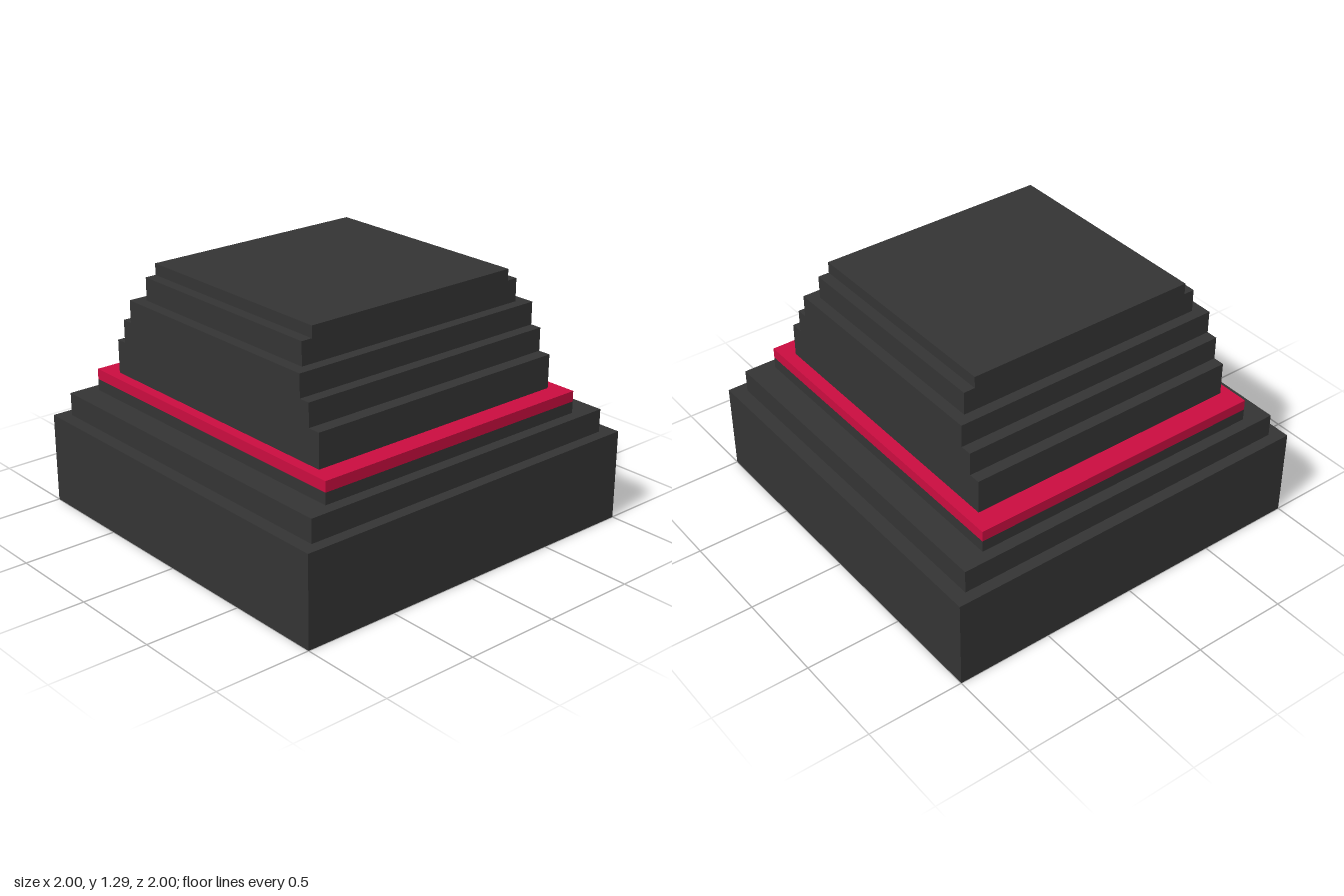
import * as THREE from 'three';

const charcoal = new THREE.MeshStandardMaterial({ color: 0x343434 });
charcoal.name = 'charcoal';
const crimson = new THREE.MeshStandardMaterial({ color: 0xcb0d40 });
crimson.name = 'crimson';

// Corners of a rectangle [x0, x1, z0, z1]; shape y becomes -z once laid flat
function corners([x0, x1, z0, z1]) {
  return [[x0, -z1], [x1, -z1], [x1, -z0], [x0, -z0]].map(([x, y]) => new THREE.Vector2(x, y));
}

// Horizontal slab from y0 to y1, optionally with a rectangular opening
function slab(name, y0, y1, rect, material, opening) {
  const shape = new THREE.Shape(corners(rect));
  if (opening) shape.holes.push(new THREE.Path(corners(opening)));
  const geometry = new THREE.ExtrudeGeometry(shape, { depth: y1 - y0, bevelEnabled: false });
  geometry.rotateX(-Math.PI / 2);
  geometry.translate(0, y0, 0);
  const mesh = new THREE.Mesh(geometry, material);
  mesh.name = name;
  return mesh;
}

export function createModel() {
  const model = new THREE.Group();
  model.name = 'steppedHat';

  const step = [-0.93, 0.925, -0.94, 0.94];
  const bandRect = [-0.8, 0.785, -0.88, 0.88];
  const cavity = [-0.88, 0.87, -0.87, 0.87];
  const recess = [-0.76, 0.75, -0.81, 0.81];

  // Hollow base, open underneath with an inner ledge
  model.add(
    slab('base', 0, 0.47, [-1, 1, -1, 1], charcoal, cavity),
    slab('baseStep', 0.47, 0.53, step, charcoal, cavity),
    slab('innerLedge', 0.53, 0.59, step, charcoal, recess),
    slab('bandSupport', 0.59, 0.65, bandRect, charcoal),
    slab('band', 0.65, 0.705, bandRect, crimson)
  );

  // Crown tiers, narrowing towards the top
  const tiers = [
    [0.705, 0.88, [-0.745, 0.72, -0.765, 0.772]],
    [0.88, 1.0, [-0.745, 0.72, -0.705, 0.705]],
    [1.0, 1.117, [-0.745, 0.72, -0.645, 0.645]],
    [1.117, 1.235, [-0.685, 0.662, -0.588, 0.588]],
    [1.235, 1.294, [-0.627, 0.603, -0.588, 0.588]]
  ];
  tiers.forEach(([y0, y1, rect], i) => model.add(slab(`crownTier${i + 1}`, y0, y1, rect, charcoal)));

  return model;
}
